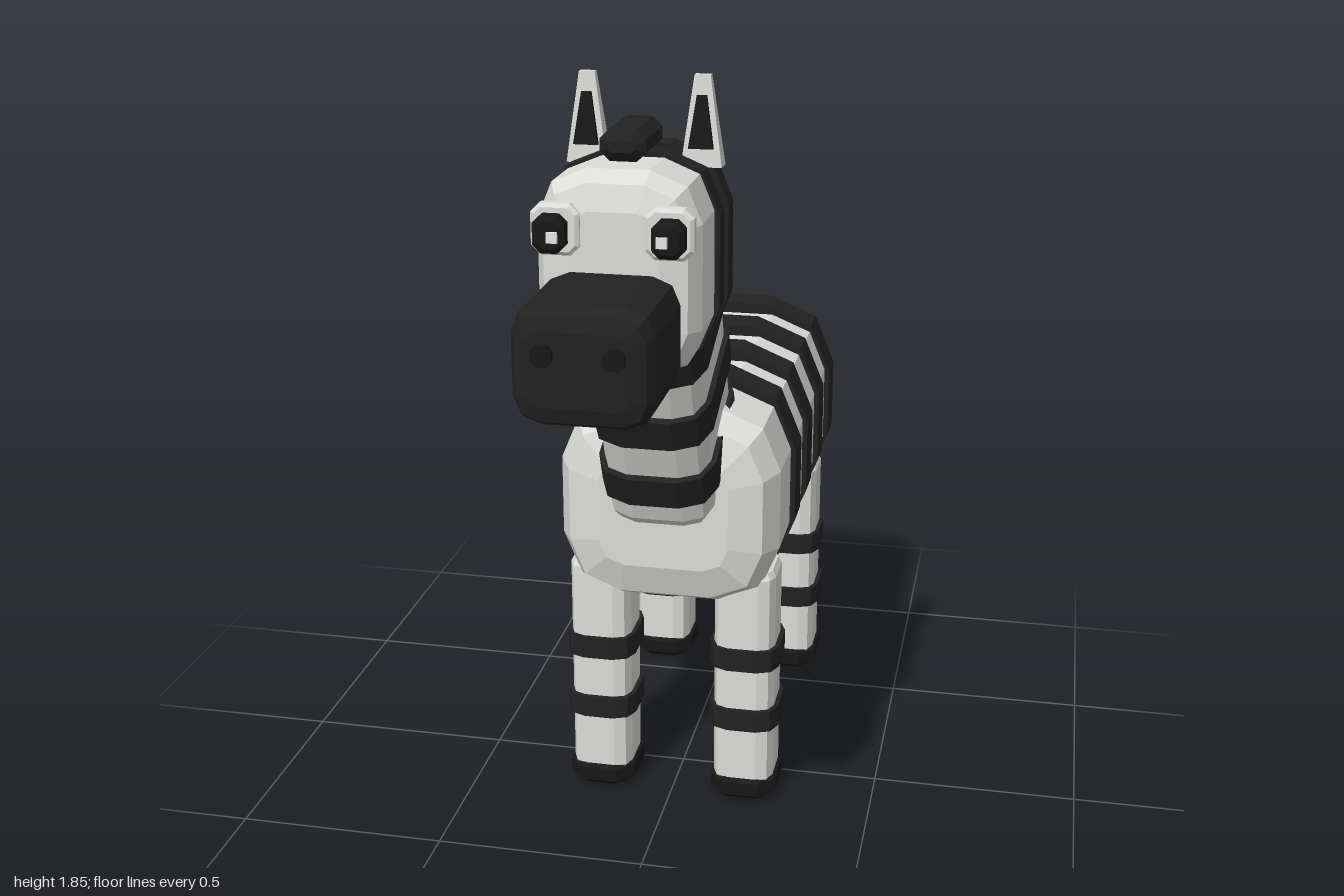
import * as THREE from 'three';

const mat = (name, color) => {
  const m = new THREE.MeshStandardMaterial({ color });
  m.name = name;
  m.flatShading = true;
  return m;
};

// Rounded-rectangle block extruded along z and centred; r rounds the outline, b bevels the ends.
function block(w, h, d, r, b = 0, seg = 2) {
  const x = w / 2 - r, y = h / 2 - r, ri = r - b, pts = [];
  [[x, y], [-x, y], [-x, -y], [x, -y]].forEach(([cx, cy], q) => {
    for (let i = 0; i <= seg; i++) {
      const a = (q + i / seg) * Math.PI / 2;
      pts.push(new THREE.Vector2(cx + ri * Math.cos(a), cy + ri * Math.sin(a)));
    }
  });
  const g = new THREE.ExtrudeGeometry(new THREE.Shape(pts), {
    depth: d - 2 * b, bevelEnabled: b > 0, bevelSize: b, bevelThickness: b * 0.8, bevelSegments: seg, steps: 1,
  });
  g.translate(0, 0, b - d / 2);
  return g;
}

// The same block standing along y
const post = (w, d, h, r, b, seg) => block(w, d, h, r, b, seg).rotateX(-Math.PI / 2);

export function createModel() {
  const root = new THREE.Group();
  const white = mat('coat white', 0xdcdcd8);
  const black = mat('stripe black', 0x222222);
  const dark = mat('hoof and eye black', 0x181818);
  const glint = mat('eye glint', 0xf4f4f4);

  const add = (parent, name, geo, material, x = 0, y = 0, z = 0) => {
    const m = new THREE.Mesh(geo, material);
    m.name = name;
    m.position.set(x, y, z);
    parent.add(m);
    return m;
  };
  const group = (name, x = 0, y = 0, z = 0) => {
    const g = new THREE.Group();
    g.name = name;
    g.position.set(x, y, z);
    root.add(g);
    return g;
  };

  // Body with four stripes
  const body = group('body', 0, 0.795, 0);
  add(body, 'torso', block(0.53, 0.49, 1.08, 0.17, 0.11), white, 0, 0, -0.272);
  for (const z of [-0.05, -0.255, -0.472, -0.683])
    add(body, 'bodyStripe', block(0.555, 0.545, 0.095, 0.18), black, 0, 0, z);

  // Legs with two bands and a hoof each
  for (const sx of [1, -1]) for (const z of [0.088, -0.645]) {
    const leg = group(z > 0 ? 'frontLeg' : 'backLeg', sx * 0.18, 0, z);
    add(leg, 'shank', post(0.15, 0.168, 0.6, 0.045, 0.03), white, 0, 0.34);
    for (const y of [0.237, 0.4])
      add(leg, 'legBand', post(0.172, 0.192, 0.055, 0.05), black, 0, y);
    add(leg, 'hoof', post(0.165, 0.188, 0.085, 0.05, 0.025, 1), dark, 0, 0.045);
  }

  // Neck leaning forward, with stripes and a tufted mane along its back
  const neck = group('neck', 0, 1.137, 0.244);
  neck.rotation.x = 0.4;
  add(neck, 'neckCore', post(0.25, 0.365, 0.64, 0.075, 0.05), white, 0, -0.01);
  for (const y of [-0.18, 0, 0.18])
    add(neck, 'neckStripe', post(0.275, 0.4, 0.08, 0.08), black, 0, y);
  [[1.395, 0.195], [1.295, 0.147], [1.185, 0.094], [1.095, 0.042]].forEach(([y, z], i) => {
    const s = i % 2 ? 0.078 : 0.093;
    const tuft = add(root, 'maneTuft', post(s, s * 0.95, s * 1.15, 0.03, 0.024, 1), i % 2 ? white : black, 0, y, z);
    tuft.rotation.x = 0.4;
  });
  add(root, 'maneTop', post(0.085, 0.075, 0.2, 0.03, 0.022, 1), black, 0, 1.572, 0.322);

  // Head, stripes and muzzle
  const head = group('head', 0, 1.485, 0);
  add(head, 'skull', block(0.34, 0.43, 0.35, 0.12, 0.075), white, 0, 0, 0.544);
  for (const z of [0.49, 0.387])
    add(head, 'headStripe', block(0.362, 0.45, 0.053, 0.125), black, 0, 0, z);
  add(head, 'muzzle', block(0.28, 0.24, 0.32, 0.065, 0.045), black, 0, -0.1, 0.835);
  add(head, 'forelock', block(0.095, 0.065, 0.195, 0.028, 0.02, 1), black, 0, 0.255, 0.53);

  for (const s of [1, -1]) {
    add(head, 'nostril', block(0.042, 0.042, 0.02, 0.01, 0, 1), dark, s * 0.07, -0.07, 0.988);

    // Eyes
    add(head, 'eyeWhite', block(0.1, 0.105, 0.035, 0.022, 0.008, 1), white, s * 0.116, 0.103, 0.7);
    add(head, 'pupil', block(0.066, 0.076, 0.045, 0.02, 0.01, 1), dark, s * 0.12, 0.1, 0.733);
    add(head, 'eyeGlint', new THREE.BoxGeometry(0.022, 0.022, 0.008), glint, s * 0.11, 0.097, 0.756);

    // Ears: four-sided tapering posts with dark inner faces
    const cone = (top, bottom, h, flat) =>
      new THREE.CylinderGeometry(top, bottom, h, 4).rotateY(Math.PI / 4).scale(1, 1, flat);
    add(head, 'ear', cone(0.024, 0.062, 0.19, 0.5), white, s * 0.123, 0.273, 0.4);
    const inner = add(head, 'innerEar', cone(0.015, 0.037, 0.11, 0.45), dark, s * 0.123, 0.272, 0.417);
    inner.rotation.x = -0.08;
  }

  // Tail: two tapering links and a tuft
  const tail = group('tail');
  const link = (a, b, r0, r1) => {
    const dir = new THREE.Vector3().subVectors(b, a);
    const m = add(tail, 'tailLink', new THREE.CylinderGeometry(r1, r0, dir.length() + 0.015, 6), white);
    m.position.addVectors(a, b).multiplyScalar(0.5);
    m.quaternion.setFromUnitVectors(new THREE.Vector3(0, 1, 0), dir.normalize());
  };
  const bend = new THREE.Vector3(0, 0.73, -0.91);
  link(new THREE.Vector3(0, 0.96, -0.79), bend, 0.029, 0.024);
  link(bend, new THREE.Vector3(0, 0.56, -0.938), 0.024, 0.019);
  const tuftProfile = [[0, -0.09], [0.03, -0.09], [0.058, 0.005], [0.02, 0.09], [0, 0.09]];
  const tuft = add(tail, 'tailTuft', new THREE.LatheGeometry(
    tuftProfile.map(([x, y]) => new THREE.Vector2(x, y)), 6), black, 0, 0.5, -0.938);
  tuft.rotation.x = 0.1;

  return root;
}
